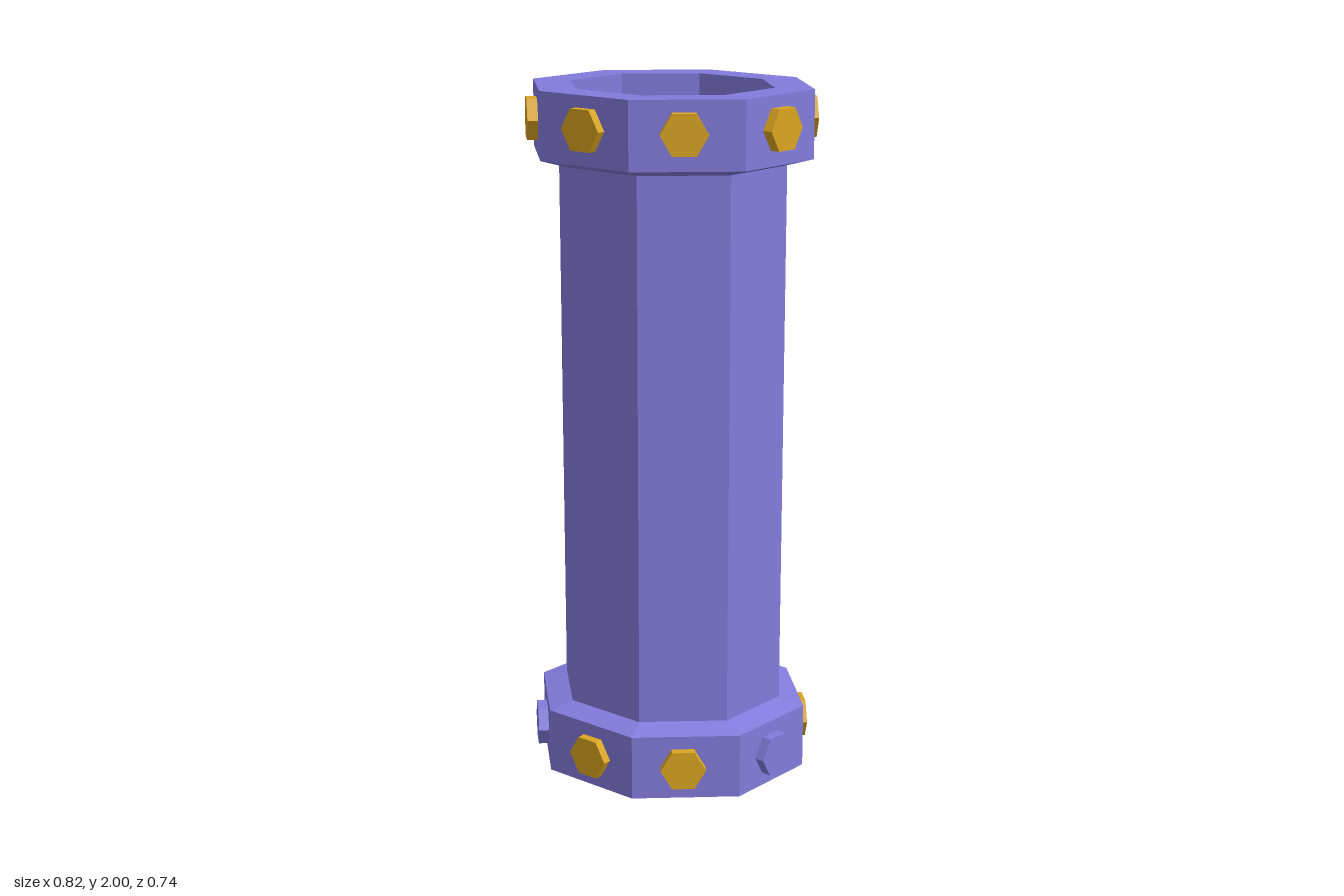
import * as THREE from 'three';

const SIDES = 8;
const DEPTH = 0.9; // the octagon is slightly narrower in z
const OUTER = 0.335, BORE = 0.297, COLLAR = 0.41;
const COLLAR_TOP = 0.19, TUBE_START = 0.21, HEIGHT = 2;

const paint = (color) => new THREE.MeshStandardMaterial({ color, flatShading: true });

export function createModel() {
  const model = new THREE.Group();
  model.name = 'boltedTube';
  const violet = paint(0x837bdc);
  const gold = paint(0xdaa520);

  // Octagonal surface swept from a radius/height profile
  function octagon(name, profile) {
    const points = profile.map(([r, y]) => new THREE.Vector2(r, y));
    const geometry = new THREE.LatheGeometry(points, SIDES).scale(1, 1, DEPTH);
    const mesh = new THREE.Mesh(geometry, violet);
    mesh.name = name;
    model.add(mesh);
    return mesh;
  }

  // Tube wall and the bore inside it
  const tubeEnd = HEIGHT - TUBE_START;
  octagon('tubeWall', [[OUTER, TUBE_START], [OUTER, tubeEnd]]);
  octagon('tubeBore', [[BORE, tubeEnd], [BORE, TUBE_START]]);

  // Collars with a shallow slope towards the tube
  const collar = [[BORE, TUBE_START], [BORE, 0], [COLLAR, 0], [COLLAR, COLLAR_TOP], [OUTER, TUBE_START]];
  octagon('bottomCollar', collar);
  const top = octagon('topCollar', collar);
  top.rotation.x = Math.PI;
  top.position.y = HEIGHT;

  // Hexagonal bolt heads, one on each collar face, mirrored to all quadrants
  const bolt = new THREE.CylinderGeometry(0.065, 0.065, 0.06, 6)
    .rotateY(Math.PI / 2).rotateX(Math.PI / 2).translate(0, 0, -0.03);
  const places = [
    { x: 0.146, z: 0.342, nx: 0.349, nz: 0.937, side: false },
    { x: 0.373, z: 0.151, nx: 0.908, nz: 0.419, side: true },
  ];
  for (const y of [0.095, 1.91]) {
    for (const p of places) {
      for (const sx of [-1, 1]) {
        for (const sz of [-1, 1]) {
          // The two lower bolts on the front flanks match the body
          const plain = y < 1 && p.side && sz > 0;
          const mesh = new THREE.Mesh(bolt, plain ? violet : gold);
          mesh.name = plain ? 'plainBolt' : 'goldBolt';
          mesh.position.set(sx * p.x, y, sz * p.z);
          mesh.rotation.y = Math.atan2(sx * p.nx, sz * p.nz);
          model.add(mesh);
        }
      }
    }
  }
  return model;
}
